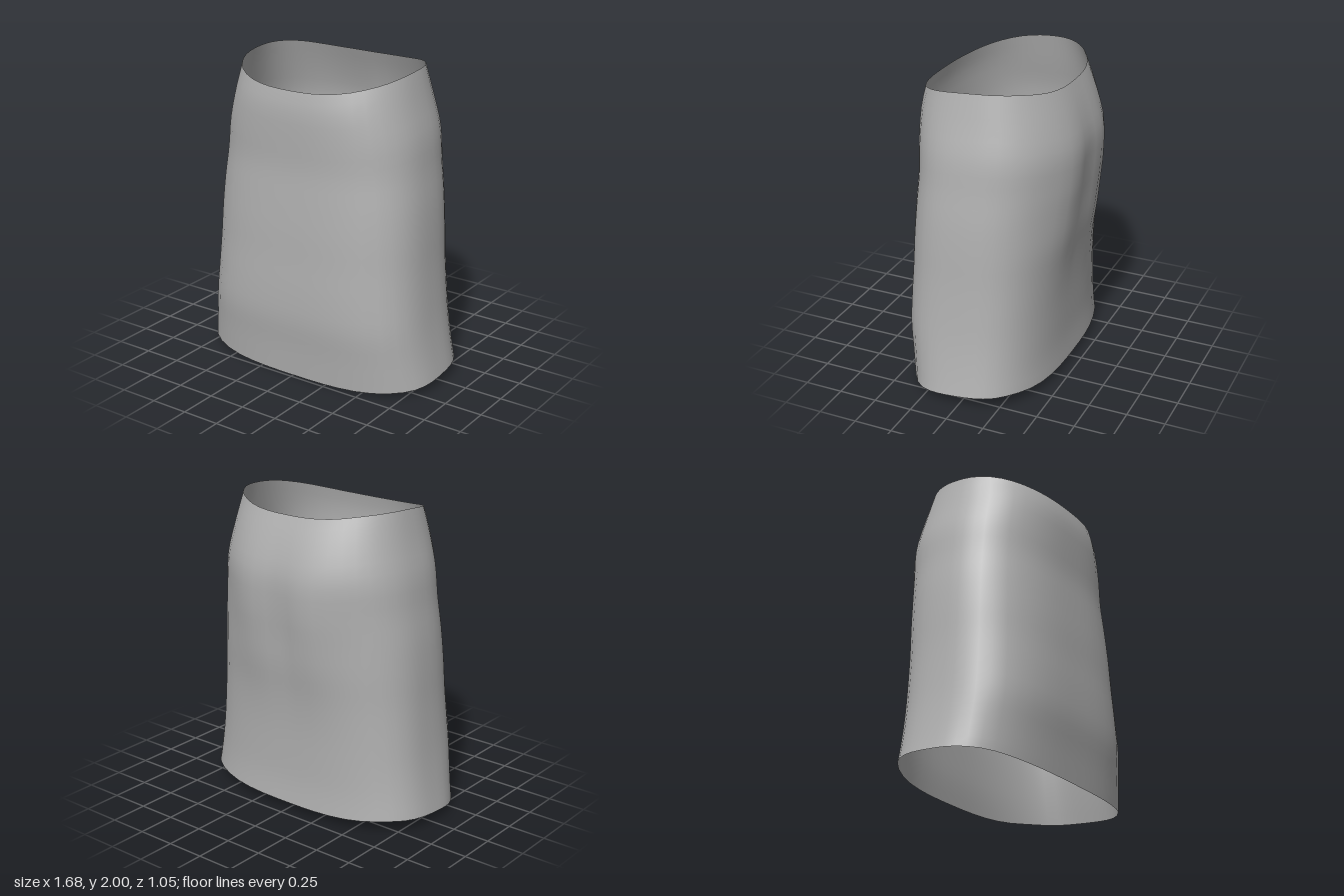
import * as THREE from 'three';

// Profiles sampled every 0.2 in height, from y = 0 to y = 2
const SIDE = [0.853, 0.815, 0.785, 0.765, 0.75, 0.74, 0.725, 0.70, 0.678, 0.63, 0.585];
const FRONT = [0.478, 0.497, 0.52, 0.522, 0.515, 0.51, 0.50, 0.49, 0.497, 0.497, 0.455];
const BACK = [0.445, 0.43, 0.43, 0.435, 0.448, 0.468, 0.48, 0.50, 0.51, 0.467, 0.395];
// Squareness of the cross-section
const FRONT_POWER = [2.9, 3.1, 3.2, 3.1, 3.0, 2.9, 2.8, 2.7, 2.6, 2.5, 2.4];
const BACK_POWER = [2.8, 2.8, 2.75, 2.7, 2.6, 2.5, 2.45, 2.4, 2.4, 2.4, 2.4];
// Rim heights from the back (-1) to the front (+1)
const HEM = [0.05, 0.08, 0.08, 0.075, 0.066, 0.056, 0.044, 0.03, 0.003];
const WAIST = [1.953, 1.985, 1.998, 2.0, 1.996, 1.985, 1.965, 1.935, 1.892];

// Smooth lookup in an evenly spaced table, t from 0 to 1
function sample(table, t) {
  const last = table.length - 1;
  const p = THREE.MathUtils.clamp(t, 0, 1) * last;
  const i = Math.min(Math.floor(p), last - 1);
  const f = p - i;
  const b = table[i], c = table[i + 1];
  const a = i > 0 ? table[i - 1] : 2 * b - c;
  const d = i + 2 <= last ? table[i + 2] : 2 * c - b;
  return b + 0.5 * f * (c - a + f * (2 * a - 5 * b + 4 * c - d + f * (3 * (b - c) + d - a)));
}

// Unit rounded-square outline at a given angle
function outline(angle, power) {
  const c = Math.cos(angle), s = Math.sin(angle);
  const r = Math.pow(Math.abs(c) ** power + Math.abs(s) ** power, -1 / power);
  return [c * r, s * r];
}

// One point of the cloth; v runs from hem to waist
function skirtPoint(angle, v) {
  const front = Math.sin(angle) >= 0;
  const hemZ = outline(angle, front ? 2.9 : 2.8)[1];
  const waistZ = outline(angle, 2.4)[1];
  const y = THREE.MathUtils.lerp(sample(HEM, (hemZ + 1) / 2), sample(WAIST, (waistZ + 1) / 2), v);
  const t = y / 2;
  const [ux, uz] = outline(angle, sample(front ? FRONT_POWER : BACK_POWER, t));
  const centre = 0.02 * (1 - t);
  const depth = front ? sample(FRONT, t) - centre : sample(BACK, t) + centre;
  const x = ux * sample(SIDE, t);
  let z = centre + uz * depth;
  // Two soft swells at the back
  if (!front) {
    const swell = Math.exp(-(((Math.abs(x) - 0.22) / 0.185) ** 2) - ((y - 1.3) / 0.42) ** 2);
    z -= 0.04 * swell * Math.min(1, -uz * 1.2);
  }
  return [x, y, z];
}

function skirtGeometry(segments, rows) {
  const positions = [], index = [];
  for (let r = 0; r <= rows; r++) {
    for (let s = 0; s < segments; s++) {
      positions.push(...skirtPoint((s / segments) * Math.PI * 2, r / rows));
    }
  }
  for (let r = 0; r < rows; r++) {
    for (let s = 0; s < segments; s++) {
      const a = r * segments + s, b = r * segments + ((s + 1) % segments);
      index.push(a, a + segments, b, b, a + segments, b + segments);
    }
  }
  const geometry = new THREE.BufferGeometry();
  geometry.setAttribute('position', new THREE.Float32BufferAttribute(positions, 3));
  geometry.setIndex(index);
  geometry.computeVertexNormals();
  return geometry;
}

export function createModel() {
  const group = new THREE.Group();
  group.name = 'skirt';

  const cloth = new THREE.MeshStandardMaterial({ color: 0xb0b0b0, side: THREE.DoubleSide });
  cloth.name = 'grey cloth';

  // Open tube of cloth, hem to waist
  const body = new THREE.Mesh(skirtGeometry(48, 28), cloth);
  body.name = 'skirtBody';
  group.add(body);

  return group;
}
